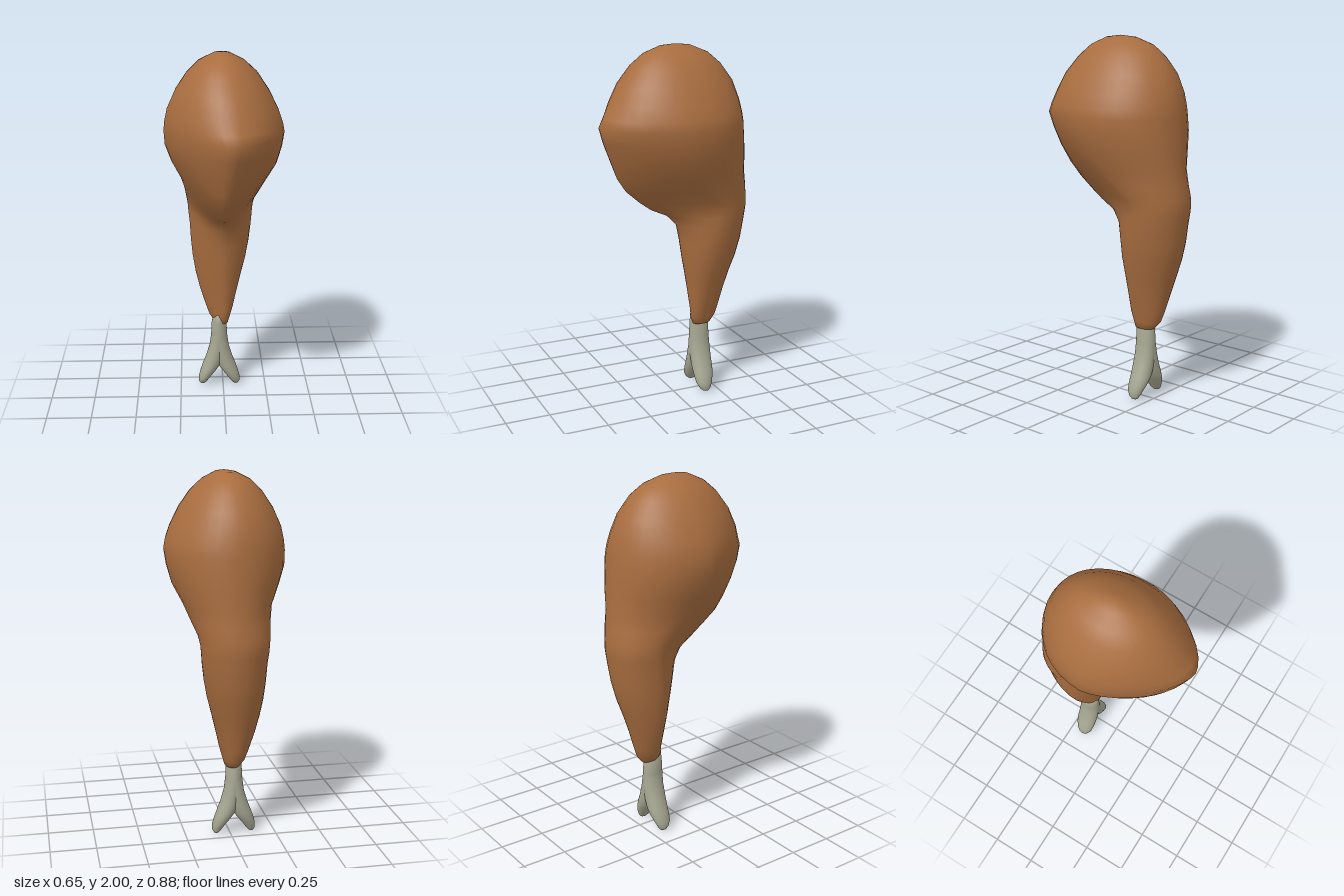
import * as THREE from 'three';
import { mergeVertices } from 'three/addons/utils/BufferGeometryUtils.js';

const SIDES = 36;

// Skins a stack of cross-sections, listed from top to bottom.
// Row: [y, xMin, xMax, zBack, zFront, zWidest, xFront, frontRoundness (2 = ellipse, less = pointed)]
function loft(rows) {
  const pos = [], index = [];
  for (const [y, x0, x1, zb, zf, zw, xf, n] of rows) {
    const cx = (x0 + x1) / 2, hw = (x1 - x0) / 2;
    for (let i = 0; i < SIDES; i++) {
      const a = (i / SIDES) * Math.PI * 2, c = Math.cos(a), s = Math.sin(a);
      const p = s > 0 ? 2 / n : 1;
      const sz = Math.pow(Math.abs(s), p);
      const x = cx + hw * Math.sign(c) * Math.pow(Math.abs(c), p) + (s > 0 ? (xf - cx) * sz : 0);
      pos.push(x, y, s > 0 ? zw + (zf - zw) * sz : zw - (zw - zb) * sz);
    }
  }
  for (let j = 0; j < rows.length - 1; j++) {
    for (let i = 0; i < SIDES; i++) {
      const k = (i + 1) % SIDES;
      const a = j * SIDES + i, b = j * SIDES + k, c = a + SIDES, d = b + SIDES;
      if (j > 0) index.push(a, b, c);
      if (j < rows.length - 2) index.push(b, d, c);
      else if (j === 0) index.push(a, b, c);
    }
  }
  let g = new THREE.BufferGeometry();
  g.setAttribute('position', new THREE.Float32BufferAttribute(pos, 3));
  g.setIndex(index);
  g = mergeVertices(g, 1e-5);
  g.computeVertexNormals();
  return g;
}

export function createModel() {
  const group = new THREE.Group();
  const meatMat = new THREE.MeshStandardMaterial({ color: 0xa86d3f });
  const boneMat = new THREE.MeshStandardMaterial({ color: 0xa6a692 });

  // Meat: rounded thigh on top, front lobe hanging over a tapering shank
  const thigh = [
    [2.00, 0, 0, -0.01, -0.01, -0.01, 0, 2],
    [1.99, -0.06, 0.04, -0.10, 0.08, -0.01, 0, 2],
    [1.95, -0.14, 0.115, -0.20, 0.17, -0.01, 0, 2],
    [1.89, -0.20, 0.18, -0.27, 0.24, -0.01, 0, 2],
    [1.80, -0.26, 0.24, -0.335, 0.315, -0.01, 0.01, 1.95],
    [1.70, -0.305, 0.29, -0.37, 0.37, -0.01, 0.02, 1.85],
    [1.63, -0.32, 0.315, -0.385, 0.41, -0.01, 0.035, 1.7],
    [1.58, -0.325, 0.325, -0.392, 0.44, -0.01, 0.04, 1.6],
    [1.50, -0.32, 0.315, -0.40, 0.415, -0.02, 0.03, 1.6],
    [1.40, -0.285, 0.29, -0.408, 0.375, -0.04, 0.02, 1.6],
    [1.30, -0.237, 0.24, -0.413, 0.335, -0.09, 0.01, 1.55],
    [1.22, -0.217, 0.21, -0.425, 0.28, -0.16, 0, 1.45],
    [1.15, -0.207, 0.182, -0.435, 0.20, -0.22, 0, 1.35],
    [1.10, -0.20, 0.172, -0.437, 0.13, -0.24, 0, 1.3],
    [1.06, -0.197, 0.168, -0.432, 0.04, -0.24, 0, 1.4],
    [1.00, -0.19, 0.162, -0.424, -0.02, -0.23, 0, 1.6],
  ];
  const shank = [
    [0.90, -0.184, 0.148, -0.41, -0.042, -0.22, 0.005, 1.7],
    [0.80, -0.174, 0.128, -0.385, -0.056, -0.21, 0.01, 1.7],
    [0.70, -0.157, 0.10, -0.35, -0.074, -0.20, 0.01, 1.7],
    [0.60, -0.132, 0.075, -0.318, -0.09, -0.195, 0.01, 1.7],
    [0.50, -0.10, 0.05, -0.29, -0.105, -0.19, 0.01, 1.8],
    [0.44, -0.078, 0.036, -0.27, -0.115, -0.185, 0, 1.9],
    [0.40, -0.05, 0.026, -0.235, -0.125, -0.18, 0, 2],
    [0.385, -0.01, -0.01, -0.18, -0.18, -0.18, -0.01, 2],
  ];
  const meat = new THREE.Mesh(loft([...thigh, ...shank]), meatMat);
  meat.name = 'meat';
  group.add(meat);

  // Bone: one shaft-and-knuckle half, mirrored across the shaft axis to make the fork
  const axis = -0.023;
  const half = [
    // y, inner x, outer x, zBack, zFront
    [0.47, -0.023, -0.023, -0.17, -0.17],
    [0.45, -0.05, 0.004, -0.21, -0.12],
    [0.40, -0.066, 0.02, -0.228, -0.118],
    [0.32, -0.07, 0.024, -0.232, -0.115],
    [0.25, -0.062, 0.033, -0.235, -0.115],
    [0.18, -0.052, 0.054, -0.236, -0.114],
    [0.13, -0.033, 0.073, -0.236, -0.115],
    [0.09, -0.005, 0.087, -0.23, -0.117],
    [0.05, 0.027, 0.098, -0.216, -0.122],
    [0.02, 0.048, 0.098, -0.203, -0.138],
    [0.005, 0.062, 0.09, -0.192, -0.155],
    [0.00, 0.076, 0.076, -0.175, -0.175],
  ];
  for (const side of ['Left', 'Right']) {
    const rows = half.map(([y, a, b, zb, zf]) => {
      const [x0, x1] = side === 'Left' ? [a, b] : [2 * axis - b, 2 * axis - a];
      return [y, x0, x1, zb, zf, (zb + zf) / 2, (x0 + x1) / 2, 2];
    });
    const bone = new THREE.Mesh(loft(rows), boneMat);
    bone.name = 'bone' + side;
    group.add(bone);
  }
  return group;
}
